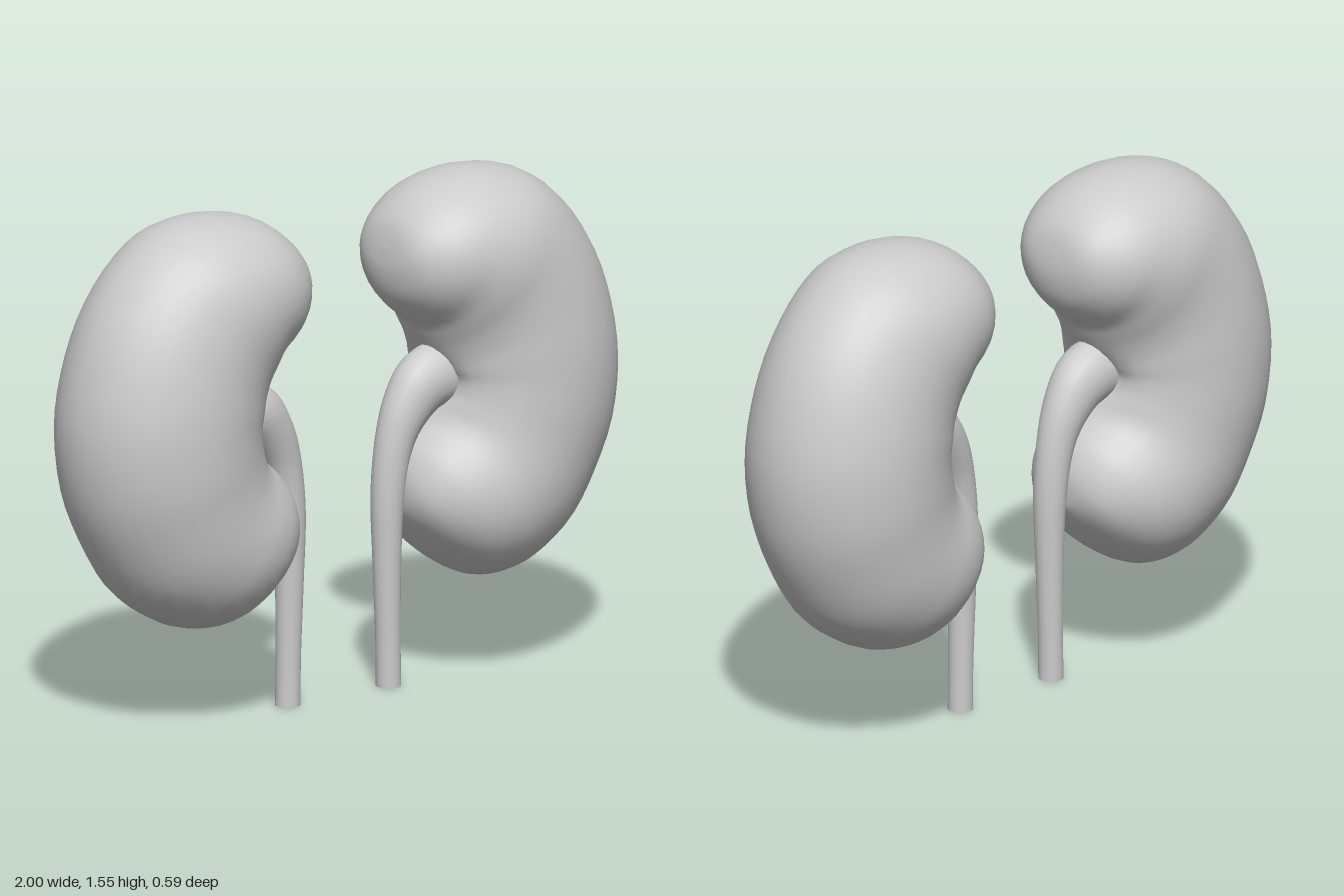
import * as THREE from 'three';

// Skin a list of closed rings; side = -1 mirrors the result across x = 0
function loft(rings, side) {
  const n = rings[0].length, pos = [], idx = [];
  for (const ring of rings) for (const p of ring) pos.push(p.x * side, p.y, p.z);
  for (let i = 0; i < rings.length - 1; i++) {
    for (let j = 0; j < n; j++) {
      const a = i * n + j, b = i * n + (j + 1) % n, c = a + n, d = b + n;
      if (side > 0) idx.push(a, b, c, b, d, c);
      else idx.push(a, c, b, b, c, d);
    }
  }
  const g = new THREE.BufferGeometry();
  g.setAttribute('position', new THREE.Float32BufferAttribute(pos, 3));
  g.setIndex(idx);
  g.computeVertexNormals();
  return g;
}

const smooth = (pts) => new THREE.CatmullRomCurve3(pts, false, 'catmullrom', 0.5);

// Bean cross-sections: inner x, y, outer x, y, half depth
const SECTIONS = [
  [0.185, 1.34, 0.185, 1.34, 0],
  [0.18, 1.27, 0.21, 1.42, 0.11],
  [0.20, 1.19, 0.28, 1.49, 0.18],
  [0.25, 1.13, 0.38, 1.535, 0.235],
  [0.30, 1.09, 0.52, 1.55, 0.265],
  [0.32, 1.05, 0.67, 1.52, 0.28],
  [0.335, 1.01, 0.80, 1.43, 0.28],
  [0.345, 0.97, 0.91, 1.28, 0.285],
  [0.35, 0.94, 0.975, 1.10, 0.293],
  [0.355, 0.92, 1.0, 0.92, 0.295],
  [0.355, 0.89, 0.975, 0.73, 0.293],
  [0.35, 0.86, 0.91, 0.57, 0.285],
  [0.345, 0.83, 0.82, 0.43, 0.28],
  [0.33, 0.80, 0.71, 0.345, 0.275],
  [0.30, 0.77, 0.60, 0.30, 0.265],
  [0.26, 0.73, 0.48, 0.30, 0.235],
  [0.23, 0.67, 0.36, 0.37, 0.18],
  [0.22, 0.61, 0.27, 0.465, 0.11],
  [0.225, 0.54, 0.225, 0.54, 0],
];

function kidneyGeometry(side) {
  const inner = smooth(SECTIONS.map((s) => new THREE.Vector3(s[0], s[1], 0)));
  const outer = smooth(SECTIONS.map((s) => new THREE.Vector3(s[2], s[3], s[4])));
  const rings = [], steps = 54, n = 36;
  for (let i = 0; i <= steps; i++) {
    const t = i / steps, I = inner.getPoint(t), O = outer.getPoint(t), ring = [];
    for (let j = 0; j < n; j++) {
      const a = (j / n) * Math.PI * 2;
      // shallow hollow where the duct enters
      const dent = 0.08 * Math.exp(-(((a - Math.PI) / 0.32) ** 2) - ((t - 0.5) / 0.12) ** 2);
      const k = (1 + Math.cos(a)) / 2 + dent;
      ring.push(new THREE.Vector3(
        I.x + (O.x - I.x) * k, I.y + (O.y - I.y) * k, Math.sin(a) * O.z));
    }
    rings.push(ring);
  }
  return loft(rings, side);
}

// Duct centre line: x, y, radius
const DUCT = [
  [0.46, 0.94, 0.095], [0.34, 0.92, 0.098], [0.265, 0.85, 0.08], [0.213, 0.74, 0.06],
  [0.188, 0.58, 0.051], [0.186, 0.38, 0.043], [0.19, 0.15, 0.038], [0.192, 0, 0.038],
];

function ductGeometry(side) {
  const path = smooth(DUCT.map((p) => new THREE.Vector3(p[0], p[1], 0)));
  const radius = smooth(DUCT.map((p) => new THREE.Vector3(p[2], 0, 0)));
  const steps = 32, n = 20;
  const ringAt = (t, scale) => {
    const c = path.getPoint(t), T = path.getTangent(t), r = radius.getPoint(t).x * scale;
    if (t === 1) T.set(0, -1, 0);
    return Array.from({ length: n }, (_, j) => {
      const a = (j / n) * Math.PI * 2, u = Math.cos(a) * r;
      // slightly flattened front to back at the wide end
      const w = Math.sin(a) * Math.min(r, 0.05 + (r - 0.05) * 0.7);
      return new THREE.Vector3(c.x - T.y * u, c.y + T.x * u, 0.01 + w);
    });
  };
  const rings = [];
  for (let i = 0; i <= steps; i++) rings.push(ringAt(i / steps, 1));
  // doubled rings keep the rim sharp, then the bore runs back up
  rings.push(ringAt(1, 1), ringAt(1, 0.7));
  for (let i = steps; i >= steps / 2; i--) rings.push(ringAt(i / steps, 0.7));
  return loft(rings, side);
}

export function createModel() {
  const model = new THREE.Group();
  model.name = 'kidneys';
  const material = new THREE.MeshStandardMaterial({ color: 0xcccccc });
  for (const [name, side] of [['left', 1], ['right', -1]]) {
    const kidney = new THREE.Mesh(kidneyGeometry(side), material);
    kidney.name = name + 'Kidney';
    const ureter = new THREE.Mesh(ductGeometry(side), material);
    ureter.name = name + 'Ureter';
    model.add(kidney, ureter);
  }
  return model;
}
